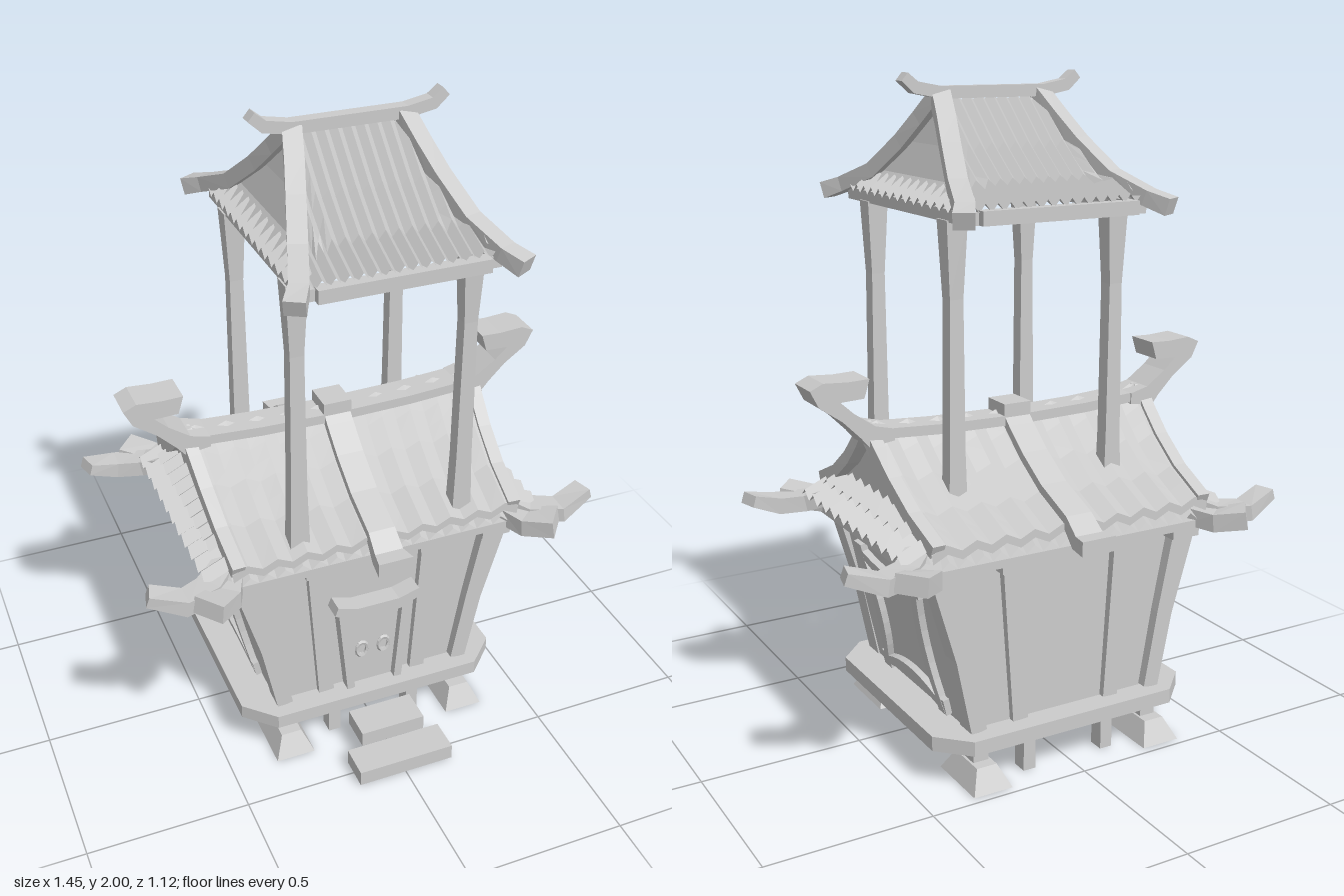
import * as THREE from 'three';

const mat = new THREE.MeshStandardMaterial({ color: 0xcccccc, flatShading: true });
const sheetMat = new THREE.MeshStandardMaterial({ color: 0xcccccc, flatShading: true, side: THREE.DoubleSide });
const Y = new THREE.Vector3(0, 1, 0), Z = new THREE.Vector3(0, 0, 1);
const ZC = -0.055;                       // centre line of the house
const UX = 0.022, UZ = 0.018;            // centre of the upper pavilion

function mesh(name, geo, m = mat) {
  const o = new THREE.Mesh(geo, m);
  o.name = name;
  return o;
}

function box(name, w, h, d, x, y, z) {
  const o = mesh(name, new THREE.BoxGeometry(w, h, d));
  o.position.set(x, y, z);
  return o;
}

// box whose top has its own width and depth
function taper(name, w0, d0, w1, d1, h, x, y, z) {
  const g = new THREE.BoxGeometry(1, h, 1), p = g.attributes.position;
  for (let i = 0; i < p.count; i++) {
    const top = p.getY(i) > 0;
    p.setX(i, p.getX(i) * (top ? w1 : w0));
    p.setZ(i, p.getZ(i) * (top ? d1 : d0));
  }
  const o = mesh(name, g);
  o.position.set(x, y + h / 2, z);
  return o;
}

// rectangular bar swept along points [x, y, z, width, height]
function bar(name, pts, ref = Y) {
  const v = pts.map(p => new THREE.Vector3(p[0], p[1], p[2])), pos = [], idx = [], n = v.length;
  v.forEach((c, i) => {
    const t = v[Math.min(i + 1, n - 1)].clone().sub(v[Math.max(i - 1, 0)]).normalize();
    const s = ref.clone().cross(t).normalize(), u = t.clone().cross(s);
    for (const [a, b] of [[-1, -1], [1, -1], [1, 1], [-1, 1]])
      pos.push(...c.clone().addScaledVector(s, a * pts[i][3] / 2).addScaledVector(u, b * pts[i][4] / 2));
    if (i < n - 1) for (let j = 0; j < 4; j++) {
      const a = i * 4 + j, b = i * 4 + (j + 1) % 4;
      idx.push(a, b, b + 4, a, b + 4, a + 4);
    }
  });
  const e = (n - 1) * 4;
  idx.push(0, 2, 1, 0, 3, 2, e, e + 1, e + 2, e, e + 2, e + 3);
  return mesh(name, build(pos, idx));
}

function build(pos, idx) {
  const g = new THREE.BufferGeometry();
  g.setAttribute('position', new THREE.Float32BufferAttribute(pos, 3));
  g.setIndex(idx);
  const flat = g.toNonIndexed();
  flat.computeVertexNormals();
  return flat;
}

// surface from f(u, v) with u, v in 0..1
function sheet(name, nu, nv, f) {
  const pos = [], idx = [], r = nu + 1;
  for (let j = 0; j <= nv; j++) for (let i = 0; i <= nu; i++) pos.push(...f(i / nu, j / nv));
  for (let j = 0; j < nv; j++) for (let i = 0; i < nu; i++) {
    const a = j * r + i;
    idx.push(a, a + r, a + 1, a + 1, a + r, a + r + 1);
  }
  return mesh(name, build(pos, idx), sheetMat);
}

// linear lookup in rows of equal spacing
function at(rows, t) {
  const k = t * (rows.length - 1), i = Math.min(Math.floor(k), rows.length - 2);
  return rows[i].map((a, c) => a + (rows[i + 1][c] - a) * (k - i));
}
const zig = (u, n, a) => (Math.round(u * n * 2) % 2 ? a : -a);

function outline(pts) {
  return new THREE.Shape(pts.map(p => new THREE.Vector2(...p)));
}

// four-cornered outline with sides curving inward
function concave(w, h, k, Type) {
  const s = new Type();
  s.moveTo(-w, -h);
  s.quadraticCurveTo(0, -h + k, w, -h);
  s.quadraticCurveTo(w - k, 0, w, h);
  s.quadraticCurveTo(0, h - k, -w, h);
  s.quadraticCurveTo(-w + k, 0, -w, -h);
  return s;
}

function addBase(g) {
  // chamfered platform
  const w = 0.43, d = 0.395, c = 0.09;
  const deck = new THREE.ExtrudeGeometry(outline([[-w + c, -d], [w - c, -d], [w, -d + c], [w, d - c],
    [w - c, d], [-w + c, d], [-w, d - c], [-w, -d + c]]), { depth: 0.045, bevelEnabled: false });
  const p = mesh('platform', deck.rotateX(-Math.PI / 2));
  p.position.set(0, 0.12, ZC);
  g.add(p);
  for (const x of [-1, 1]) for (const z of [-1, 1]) {
    g.add(taper('footBlock', 0.125, 0.21, 0.065, 0.13, 0.065, x * 0.293, 0.005, ZC + z * 0.315));
    g.add(box('footPost', 0.05, 0.06, 0.06, x * 0.293, 0.095, ZC + z * 0.315));
    g.add(box('middlePost', 0.04, 0.12, 0.05, x * 0.135, 0.065, ZC + z * 0.33));
  }
  g.add(box('lowerStep', 0.31, 0.05, 0.105, 0, 0.035, 0.508));
  g.add(box('upperStep', 0.21, 0.05, 0.11, 0, 0.085, 0.4));
  const spike = mesh('hangingSpike', new THREE.ConeGeometry(0.025, 0.11, 5).rotateX(Math.PI));
  spike.position.set(0, 0.066, 0.035);
  g.add(spike);
}

function addBody(g) {
  g.add(taper('walls', 0.64, 0.64, 0.86, 0.63, 0.5, 0, 0.165, ZC));
  for (const s of [-1, 1]) for (const f of [-1, 1]) {
    const z = ZC + f * 0.315;
    g.add(bar('cornerColumn', [[s * 0.3, 0.165, z, 0.05, 0.07], [s * 0.345, 0.4, z, 0.055, 0.07], [s * 0.405, 0.64, z, 0.075, 0.07]], Z));
    g.add(bar('innerColumn', [[s * 0.157, 0.165, z, 0.05, 0.05], [s * 0.188, 0.64, z, 0.052, 0.05]], Z));
    g.add(box('cornerCapital', 0.095, 0.03, 0.1, s * 0.405, 0.65, z));
    g.add(box('innerCapital', 0.075, 0.03, 0.08, s * 0.188, 0.65, z));
  }
  // curved frames on the side walls
  for (const s of [-1, 1]) {
    const shape = concave(0.205, 0.215, 0.07, THREE.Shape);
    shape.holes.push(concave(0.16, 0.17, 0.06, THREE.Path));
    const geo = new THREE.ExtrudeGeometry(shape, { depth: 0.03, bevelEnabled: false, curveSegments: 8 });
    const frame = mesh('sideFrame', geo.rotateY(Math.PI / 2));
    frame.rotation.z = -0.219;
    frame.position.set(0.36, 0.39, -0.07);
    const side = new THREE.Group();
    side.name = 'sidePanel';
    side.add(frame);
    for (const a of [-1, 1]) for (const b of [-1, 1]) {
      const lobe = box('frameCorner', 0.03, 0.05, 0.05, 0.375 + b * 0.043, 0.39 + b * 0.19, -0.07 + a * 0.185);
      lobe.rotation.z = -0.219;
      side.add(lobe);
    }
    side.scale.x = s;
    g.add(side);
  }
  // door with posts, curved lintel and ring handles
  g.add(taper('door', 0.14, 0.03, 0.2, 0.03, 0.31, 0, 0.165, 0.265));
  for (const s of [-1, 1]) {
    g.add(bar('doorPost', [[s * 0.08, 0.165, 0.28, 0.025, 0.05], [s * 0.108, 0.48, 0.28, 0.03, 0.05]], Z));
    const ring = mesh('doorRing', new THREE.TorusGeometry(0.018, 0.006, 5, 12));
    ring.scale.y = 1.4;
    ring.position.set(s * 0.037, 0.3, 0.285);
    g.add(ring);
  }
  g.add(bar('doorLintel', [[-0.14, 0.51, 0.3, 0.06, 0.03], [-0.07, 0.484, 0.3, 0.06, 0.04], [0.07, 0.484, 0.3, 0.06, 0.04], [0.14, 0.51, 0.3, 0.06, 0.03]]));
}

function addLowerRoof(g) {
  const prof = [[0, 1.0], [0.06, 0.945], [0.14, 0.88], [0.25, 0.81], [0.385, 0.755]];
  const halfX = t => 0.49 - 0.03 * t;
  g.add(box('eaveSlab', 0.98, 0.025, 0.75, 0, 0.677, ZC));
  for (const f of [-1, 1]) {
    g.add(sheet('mainTiles', 20, 9, (u, v) => {
      const [d, y] = at(prof, Math.min(v * 9 / 8, 1)), a = u * 2 - 1;
      return [a * halfX(v), y + zig(u, 10, 0.011) + 0.025 * a * a * (1 - v) - (v === 1 ? 0.025 : 0), ZC + f * d];
    }));
    g.add(sheet('eaveTiles', 36, 2, (u, v) => [(u * 2 - 1) * 0.49, 0.75 - v * 0.045 + zig(u, 18, 0.012), ZC + f * (0.32 + 0.06 * v)]));
    // raised strip over the middle
    const strip = [0, 0.25, 0.5, 0.75, 1].map(t => { const [d, y] = at(prof, t); return [0, y + 0.018, ZC + f * d, 0.085, 0.035]; });
    g.add(bar('middleStrip', [...strip, [0, 0.725, ZC + f * 0.44, 0.09, 0.045], [0, 0.725, ZC + f * 0.5, 0.11, 0.045]]));
  }
  g.add(box('stripCap', 0.09, 0.06, 0.1, 0, 1.007, ZC));
  g.add(bar('ridge', [-1, -0.5, 0, 0.5, 1].map(a => [a * 0.49, 0.985 + 0.02 * a * a, ZC, 0.1, 0.03])));
  for (const s of [-1, 1]) {
    const end = new THREE.Group();
    end.name = 'roofEnd';
    end.scale.x = s;
    // gable wall under the ridge end
    const tri = [...prof.slice(1, 4).reverse().map(([d, y]) => [-d, y]), [0, 1], ...prof.slice(1, 4)];
    const gable = mesh('gableWall', new THREE.ExtrudeGeometry(outline([[-0.25, 0.69], ...tri, [0.25, 0.69]]), { depth: 0.02, bevelEnabled: false }).rotateY(Math.PI / 2));
    gable.position.set(0.42, -0.01, ZC);
    end.add(gable);
    for (const f of [-1, 1]) {
      end.add(bar('bargeBoard', [0, 0.25, 0.5, 0.75, 1].map(t => { const [d, y] = at(prof, t); return [halfX(t) - 0.015, y + 0.015 * (1 - t), ZC + f * d, 0.04, 0.04]; })));
      end.add(bar('outerHorn', [[0.42, 0.74, ZC + f * 0.27, 0.07, 0.05], [0.52, 0.7, ZC + f * 0.355, 0.08, 0.05], [0.61, 0.695, ZC + f * 0.385, 0.075, 0.05], [0.71, 0.73, ZC + f * 0.36, 0.065, 0.035]]));
      end.add(bar('lowerHorn', [[0.41, 0.74, ZC + f * 0.25, 0.07, 0.05], [0.455, 0.695, ZC + f * 0.33, 0.08, 0.055], [0.49, 0.69, ZC + f * 0.4, 0.09, 0.055], [0.56, 0.705, ZC + f * 0.455, 0.1, 0.055]]));
    }
    // two overlapping rows of skirt tiles
    end.add(sheet('upperSkirtTiles', 18, 2, (u, v) => [0.42 + 0.08 * v, 0.82 - 0.04 * v + zig(u, 9, 0.012), ZC + (u * 2 - 1) * 0.28]));
    end.add(sheet('lowerSkirtTiles', 22, 2, (u, v) => [0.44 + 0.1 * v, 0.775 - 0.045 * v + zig(u, 11, 0.014), ZC + (u * 2 - 1) * 0.36]));
    // big curled horn
    const curl = outline([[0.41, 0.98], [0.49, 0.97], [0.515, 1.0], [0.57, 1.055], [0.64, 1.105], [0.665, 1.155], [0.625, 1.173],
      [0.55, 1.168], [0.485, 1.17], [0.502, 1.115], [0.575, 1.112], [0.535, 1.075], [0.47, 1.03], [0.41, 1.015]]);
    const horn = mesh('ridgeHorn', new THREE.ExtrudeGeometry(curl, { depth: 0.11, bevelEnabled: false }));
    horn.position.z = ZC - 0.055;
    end.add(horn);
    g.add(end);
  }
}

function addUpperRoof(g) {
  const p = new THREE.Group();
  p.name = 'upperPavilion';
  p.position.set(UX, 0, UZ);
  // rows: distance from ridge, height, half width
  const prof = [[0, 1.935, 0.165], [0.07, 1.87, 0.185], [0.145, 1.8, 0.21], [0.26, 1.71, 0.25], [0.385, 1.66, 0.295]];
  // place on the slope where the hip passes over x
  const hipAt = x => {
    let t = 0;
    while (t < 1 && at(prof, t)[2] < x) t += 0.01;
    return Math.min(t, 1);
  };
  for (const f of [-1, 1]) {
    p.add(sheet('slopeTiles', 30, 8, (u, v) => {
      const x = (u * 2 - 1) * 0.29, t0 = hipAt(Math.abs(x));
      const [d, y] = at(prof, t0 + (1 - t0) * v);
      return [x, y + zig(u, 15, 0.012), f * d];
    }));
    p.add(sheet('gableSide', 4, 8, (u, v) => {
      const [d, y, w] = at(prof, v);
      return [f * (w - 0.01), y, (u * 2 - 1) * d];
    }));
    p.add(sheet('sideEaveTiles', 28, 2, (u, v) => [f * (0.25 + 0.055 * v), 1.695 - 0.04 * v + zig(u, 14, 0.012), (u * 2 - 1) * 0.36]));
    p.add(box('frontBeam', 0.5, 0.04, 0.04, 0, 1.635, f * 0.385));
    p.add(box('sideBeam', 0.04, 0.035, 0.76, f * 0.27, 1.632, 0));
    for (const s of [-1, 1]) {
      p.add(bar('hip', [...prof.map(([d, y, w]) => [s * w, y, f * d, 0.055, 0.045]), [s * 0.33, 1.638, f * 0.445, 0.06, 0.05]]));
      const z = f * 0.253, x = s * 0.263;
      p.add(bar('pavilionColumn', [[x, 0.7, z, 0.065, 0.05], [x, 0.95, z, 0.05, 0.045], [x, 1.4, z, 0.042, 0.045], [x, 1.62, z, 0.065, 0.06]], Z));
    }
  }
  p.add(bar('upperRidge', [[-0.285, 1.99, 0, 0.04, 0.03], [-0.25, 1.96, 0, 0.04, 0.035], [-0.17, 1.945, 0, 0.04, 0.035], [0.17, 1.945, 0, 0.04, 0.035],
    [0.25, 1.96, 0, 0.04, 0.035], [0.285, 1.99, 0, 0.04, 0.03]]));
  g.add(p);
}

export function createModel() {
  const g = new THREE.Group();
  g.name = 'pavilionHouse';
  addBase(g);
  addBody(g);
  addLowerRoof(g);
  addUpperRoof(g);
  return g;
}
